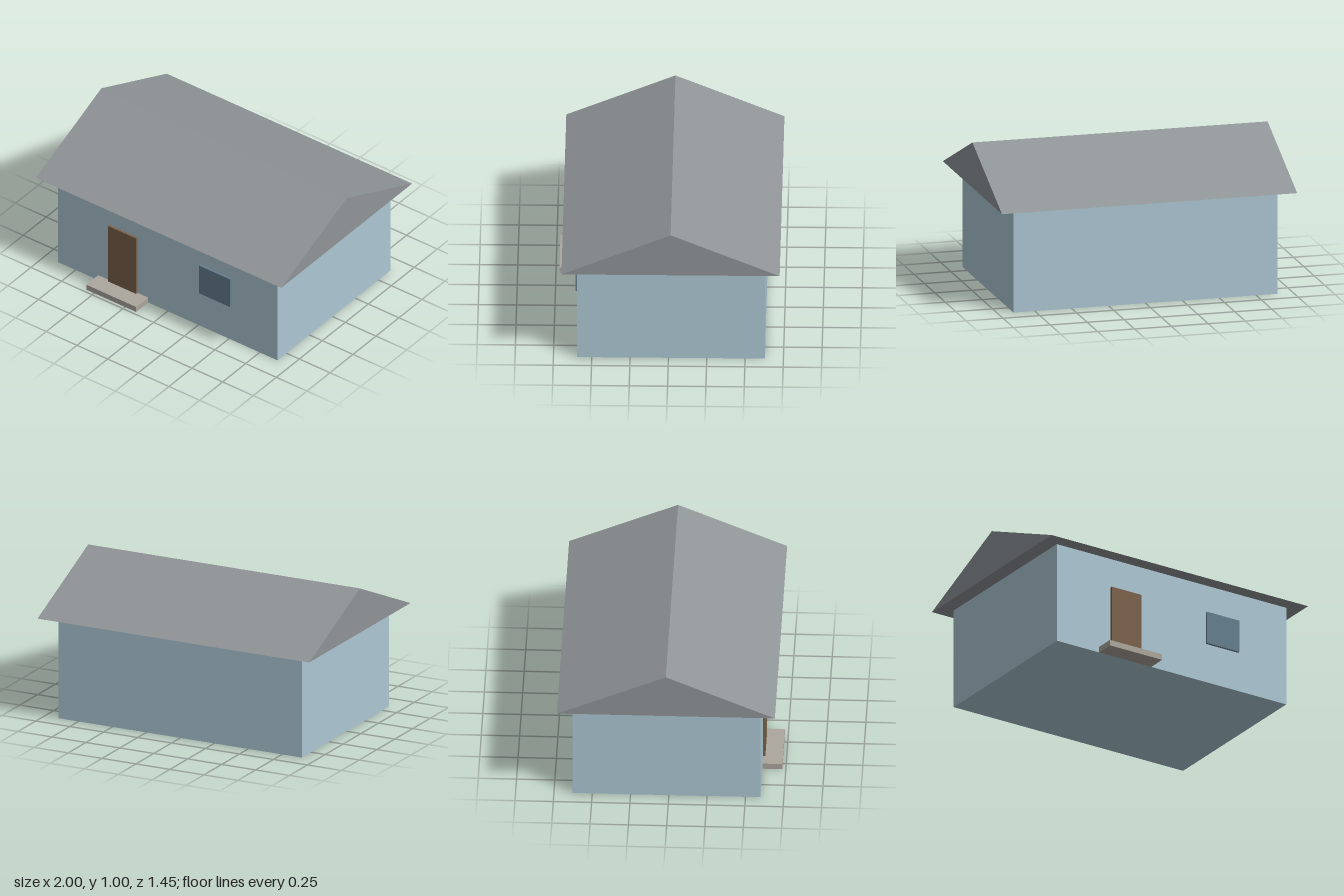
import * as THREE from 'three';

const WALL_FRONT = 0.597;
const WALL_BACK = -0.629;
const EAVES = 0.695;

export function createModel() {
  const house = new THREE.Group();
  house.name = 'house';

  const add = (name, geometry, color) => {
    const material = new THREE.MeshStandardMaterial({ color, flatShading: true });
    const mesh = new THREE.Mesh(geometry, material);
    mesh.name = name;
    house.add(mesh);
    return mesh;
  };

  // Box given by its lower and upper limits on each axis
  const addBox = (name, color, [x0, x1], [y0, y1], [z0, z1]) => {
    const mesh = add(name, new THREE.BoxGeometry(x1 - x0, y1 - y0, z1 - z0), color);
    mesh.position.set((x0 + x1) / 2, (y0 + y1) / 2, (z0 + z1) / 2);
  };

  // Body
  addBox('walls', 0xadc8d4, [-0.895, 0.895], [0, EAVES], [WALL_BACK, WALL_FRONT]);

  // Gabled roof: triangular profile extruded along x
  const gable = new THREE.Shape([
    new THREE.Vector2(-0.696, EAVES),
    new THREE.Vector2(0.727, EAVES),
    new THREE.Vector2(0.016, 1),
  ]);
  const roof = new THREE.ExtrudeGeometry(gable, { depth: 2, bevelEnabled: false });
  roof.translate(0, 0, -1).rotateY(Math.PI / 2);
  add('roof', roof, 0x909598);

  // Front details
  addBox('door', 0x7a624b, [-0.476, -0.246], [0.04, 0.49], [WALL_FRONT, 0.613]);
  addBox('window', 0x657f8e, [0.267, 0.519], [0.275, 0.5], [WALL_FRONT, 0.613]);
  addBox('doorstep', 0xaca69d, [-0.565, -0.159], [0, 0.04], [WALL_FRONT, 0.727]);

  return house;
}
